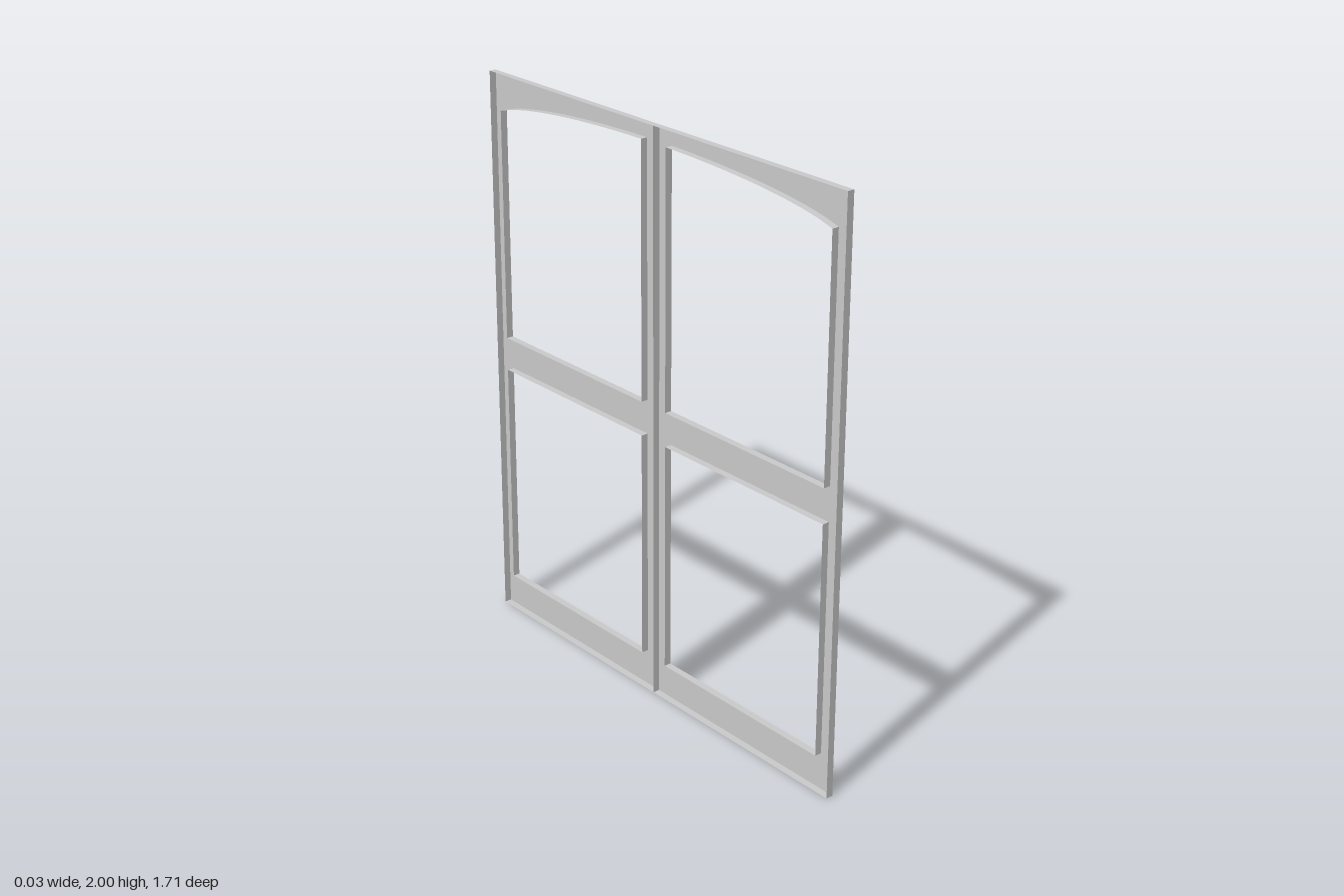
import * as THREE from 'three';

const WIDTH = 0.857, HEIGHT = 2, DEPTH = 0.025;
const INNER = 0.06, OUTER = 0.8;

// Height of the arched head at a distance from the middle (part of an ellipse)
const archY = (u) => 1.835 + 0.11 * Math.sqrt(1 - (u / WIDTH) ** 2);

// Outline of one leaf with its two openings; side is 1 or -1
function leafShape(side) {
  const pts = (list) => list.map(([u, y]) => new THREE.Vector2(side * u, y));
  const shape = new THREE.Shape(pts([[0, 0], [WIDTH, 0], [WIDTH, HEIGHT], [0, HEIGHT]]));

  // Lower square opening
  shape.holes.push(new THREE.Path(pts([[INNER, 0.13], [OUTER, 0.13], [OUTER, 0.94], [INNER, 0.94]])));

  // Upper opening with the arched head
  const upper = [[INNER, 1.06], [OUTER, 1.06]];
  const steps = 16;
  for (let i = 0; i <= steps; i++) {
    const u = OUTER + (INNER - OUTER) * (i / steps);
    upper.push([u, archY(u)]);
  }
  shape.holes.push(new THREE.Path(pts(upper)));
  return shape;
}

// Extruded leaf without its rear cap: a face sheet with turned-back edges
function openBackLeaf(side) {
  const solid = new THREE.ExtrudeGeometry(leafShape(side), { depth: DEPTH, bevelEnabled: false });
  const skip = solid.groups[0].count / 2; // the rear cap comes first
  const geometry = new THREE.BufferGeometry();
  for (const name of ['position', 'normal', 'uv']) {
    const { array, itemSize } = solid.getAttribute(name);
    geometry.setAttribute(name, new THREE.BufferAttribute(array.slice(skip * itemSize), itemSize));
  }
  // Centre the thickness and turn the face towards +x
  return geometry.translate(0, 0, -DEPTH / 2).rotateY(Math.PI / 2);
}

export function createModel() {
  const group = new THREE.Group();
  group.name = 'doubleWindowFrame';
  const material = new THREE.MeshStandardMaterial({ color: 0xcccccc, side: THREE.DoubleSide });

  // Two mirrored leaves meeting at the middle
  for (const [name, side] of [['rearLeaf', 1], ['frontLeaf', -1]]) {
    const leaf = new THREE.Mesh(openBackLeaf(side), material);
    leaf.name = name;
    group.add(leaf);
  }
  return group;
}
